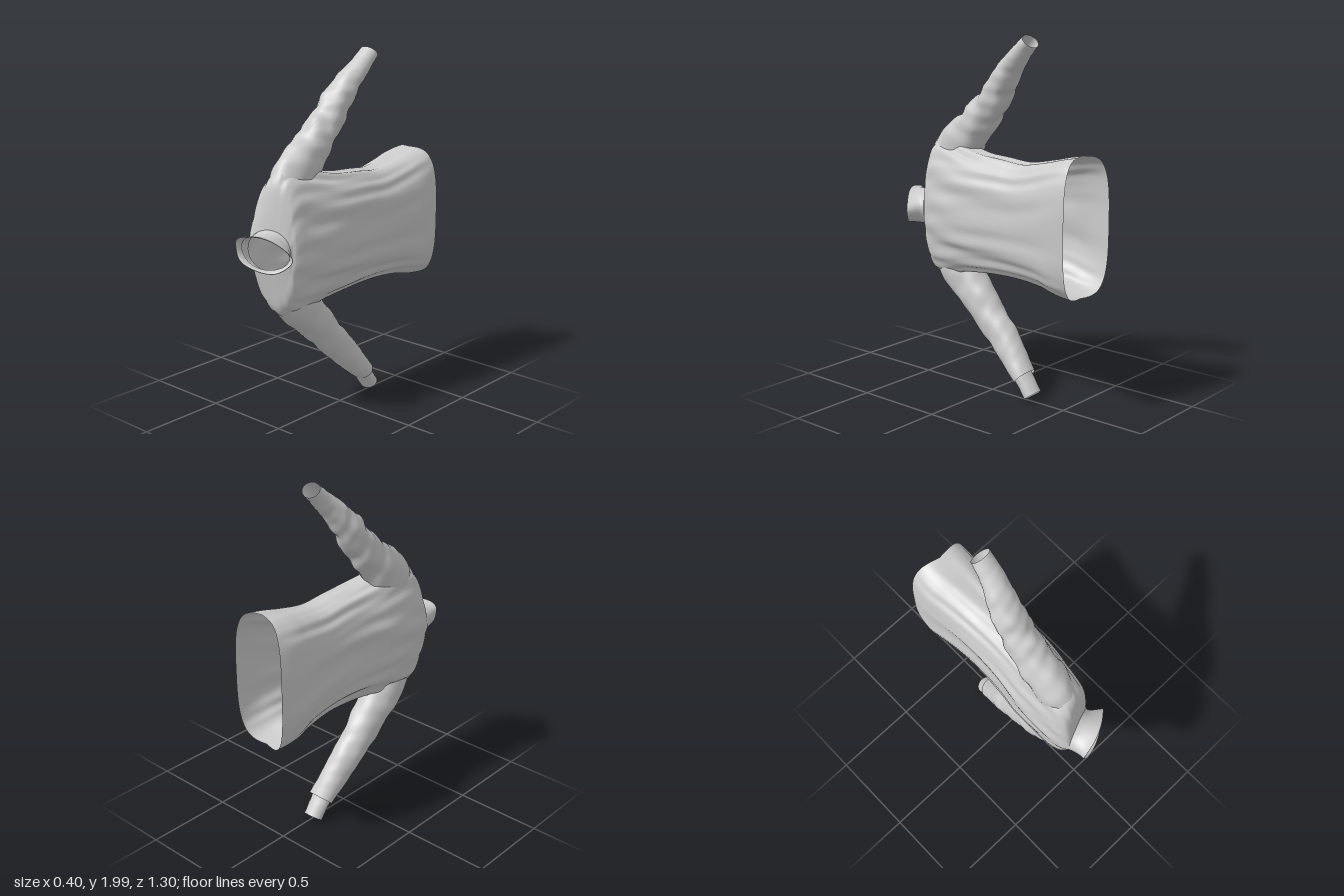
import * as THREE from 'three';

const cloth = new THREE.MeshStandardMaterial({ color: 0xcccccc, side: THREE.DoubleSide });

// Smoothly blends rows of numbers; returns the row at u in 0..1
function blend(rows, u) {
  const f = u * (rows.length - 1);
  const i = Math.min(Math.floor(f), rows.length - 2);
  const t = f - i;
  const at = (k) => rows[Math.max(0, Math.min(rows.length - 1, k))];
  return rows[i].map((_, c) => {
    const p0 = at(i - 1)[c], p1 = at(i)[c], p2 = at(i + 1)[c], p3 = at(i + 2)[c];
    const m1 = (p2 - p0) / 2, m2 = (p3 - p1) / 2;
    return (2 * t ** 3 - 3 * t * t + 1) * p1 + (t ** 3 - 2 * t * t + t) * m1
      + (3 * t * t - 2 * t ** 3) * p2 + (t ** 3 - t * t) * m2;
  });
}

// Open tube skinned over rings; point(u, angle) gives [x, y, z].
// Faces whose corners are all buried are left out, so the inside stays hollow.
function loft(name, rings, sides, point, buried = () => false) {
  const pos = [], index = [], hidden = [];
  for (let i = 0; i <= rings; i++) {
    for (let j = 0; j < sides; j++) {
      const p = point(i / rings, (j / sides) * Math.PI * 2);
      pos.push(...p);
      hidden.push(buried(p));
    }
  }
  for (let i = 0; i < rings; i++) {
    for (let j = 0; j < sides; j++) {
      const k = (j + 1) % sides;
      const a = i * sides + j, b = i * sides + k, c = b + sides, d = a + sides;
      if ([a, b, c, d].every((v) => hidden[v])) continue;
      index.push(a, b, c, a, c, d);
    }
  }
  const g = new THREE.BufferGeometry();
  g.setAttribute('position', new THREE.Float32BufferAttribute(pos, 3));
  g.setIndex(index);
  g.computeVertexNormals();
  const mesh = new THREE.Mesh(g, cloth);
  mesh.name = name;
  return mesh;
}

const spow = (v, e) => Math.sign(v) * Math.abs(v) ** e;

// Torso rows: z, centre x, half x, centre y, half y, slant, roundness exponent
const torsoRows = [
  [-0.60, 0.00, 0.200, 1.025, 0.375, 0, 0.62],
  [-0.50, -0.003, 0.193, 1.022, 0.358, 0, 0.65],
  [-0.40, -0.003, 0.180, 1.022, 0.335, 0, 0.70],
  [-0.25, -0.003, 0.164, 1.015, 0.317, 0, 0.75],
  [-0.10, -0.006, 0.160, 1.02, 0.324, 0, 0.78],
  [0.04, -0.012, 0.163, 1.02, 0.335, 0, 0.80],
  [0.16, -0.025, 0.167, 1.02, 0.355, 0, 0.86],
  [0.26, -0.034, 0.162, 1.02, 0.385, 0, 0.94],
  [0.35, -0.042, 0.153, 1.02, 0.402, 0.05, 0.98],
  [0.42, -0.045, 0.144, 1.015, 0.390, 0.12, 0.98],
  [0.465, -0.045, 0.132, 1.01, 0.335, 0.22, 0.98],
  [0.490, -0.045, 0.120, 1.005, 0.215, 0.34, 0.98],
  [0.505, -0.043, 0.112, 1.0, 0.112, 0.40, 1],
];
// Collar rows use the same columns; the last rows turn the rim inwards
const collarRows = [
  [0.503, -0.043, 0.112, 1.0, 0.112, 0.40, 1],
  [0.525, -0.035, 0.114, 1.0, 0.100, 0.42, 1],
  [0.560, -0.015, 0.128, 1.003, 0.094, 0.45, 1],
  [0.585, -0.003, 0.141, 1.008, 0.094, 0.46, 1],
  [0.583, -0.004, 0.132, 1.010, 0.087, 0.46, 1],
  [0.560, -0.014, 0.119, 1.008, 0.081, 0.45, 1],
];

function torsoPoint(u, t) {
  const [z, cx, hx, cy, hy, slant, e] = blend(torsoRows, u);
  const c = Math.cos(t), s = Math.sin(t);
  // long pulls in the cloth along the body, fading at hem and neck
  const fade = Math.max(0, Math.sin(Math.PI * u)) ** 0.7;
  const fold = fade * (0.006 * Math.sin(15 * t + 2 * Math.sin(5 * u))
    + 0.005 * Math.sin(8 * t - 6 * u) + 0.003 * Math.sin(23 * t + 9 * u));
  // the open hem hangs lower at the sides, where its lip curls inwards
  const hem = Math.max(0, 1 - u * 12) ** 2;
  const drop = hem * (c < 0 ? 0.052 : 0.025) * Math.abs(c) ** 0.6;
  const curl = 1 - 2.4 * drop;
  const x = cx + hx * spow(c, e) * (1 + fold / 0.2) * curl;
  const y = cy + hy * spow(s, e) * (1 + fold / 0.5);
  return [x, y, z - slant * (x - cx) - drop];
}

function collarPoint(u, t) {
  const [z, cx, hx, cy, hy, slant] = blend(collarRows, u);
  const k = 1 + 0.03 * Math.sin(5 * t + 1) * Math.sin(Math.PI * u);
  const x = cx + hx * Math.cos(t) * k;
  // the rim bows forward between its two corners and sags to one side
  const rim = Math.min(1, u * 1.7);
  const bow = 0.03 * Math.sin(t) ** 2 * rim;
  const sag = 0.18 * (x - cx) * rim;
  return [x, cy + hy * Math.sin(t) * k - sag, z - slant * (x - cx) + bow];
}

// Sleeve rows: z, y, centre x, half width in the yz plane, half x
const upperSleeve = [
  [0.365, 1.27, -0.055, 0.120, 0.090],
  [0.290, 1.37, -0.058, 0.136, 0.100],
  [0.165, 1.495, -0.056, 0.108, 0.097],
  [0.06, 1.61, -0.055, 0.092, 0.090],
  [-0.03, 1.73, -0.048, 0.080, 0.086],
  [-0.11, 1.83, -0.030, 0.064, 0.073],
  [-0.18, 1.90, -0.015, 0.052, 0.063],
];
const upperCuff = [
  [-0.165, 1.885, -0.016, 0.055, 0.064],
  [-0.20, 1.92, -0.013, 0.049, 0.060],
  [-0.25, 1.968, -0.010, 0.044, 0.056],
];
const lowerSleeve = [
  [0.37, 0.765, -0.055, 0.118, 0.090],
  [0.29, 0.66, -0.058, 0.124, 0.102],
  [0.18, 0.55, -0.056, 0.110, 0.098],
  [0.06, 0.42, -0.052, 0.096, 0.087],
  [-0.05, 0.31, -0.046, 0.088, 0.081],
  [-0.14, 0.21, -0.032, 0.075, 0.076],
  [-0.215, 0.13, -0.020, 0.058, 0.075],
];
const lowerCuff = [
  [-0.19, 0.15, -0.022, 0.050, 0.062],
  [-0.225, 0.105, -0.020, 0.047, 0.058],
  [-0.276, 0.035, -0.018, 0.046, 0.056],
];

// Unit direction [z, y] along a sleeve
function heading(rows, u) {
  const a = blend(rows, Math.max(0, u - 0.02)), b = blend(rows, Math.min(1, u + 0.02));
  const len = Math.hypot(b[0] - a[0], b[1] - a[1]);
  return [(b[0] - a[0]) / len, (b[1] - a[1]) / len];
}

// True well inside the torso
function inTorso([x, y, z]) {
  let lo = 0, hi = 1;
  for (let i = 0; i < 16; i++) {
    const mid = (lo + hi) / 2;
    const row = blend(torsoRows, mid);
    if (row[0] - row[5] * (x - row[1]) < z) lo = mid; else hi = mid;
  }
  if (lo > 0.99) return false;
  const [, cx, hx, cy, hy, , e] = blend(torsoRows, lo);
  return Math.abs((x - cx) / hx) ** (2 / e) + Math.abs((y - cy) / hy) ** (2 / e) < 0.8;
}

// True well inside the root of either sleeve
const roots = [upperSleeve, lowerSleeve].flatMap((rows) =>
  Array.from({ length: 30 }, (_, i) => [...blend(rows, i / 60), ...heading(rows, i / 60)]));
function inSleeve([x, y, z]) {
  return roots.some(([z0, y0, cx, r, rx, dz, dy]) => {
    const along = (z - z0) * dz + (y - y0) * dy;
    const across = (z - z0) * dy - (y - y0) * dz;
    return Math.abs(along) < 0.01 && (across / r) ** 2 + ((x - cx) / rx) ** 2 < 0.75;
  });
}

function sleeve(name, rows, rings, crumple) {
  return loft(name, rings, 32, (u, t) => {
    const [z, y, cx, r, rx] = blend(rows, u);
    const [dz, dy] = heading(rows, u);
    // slanting creases wrap round the sleeve, strongest near the elbow
    const wave = Math.sin(34 * u + 2 * Math.sin(t + 1)) * (0.6 + 0.4 * Math.sin(2 * t + 9 * u));
    const ripple = 0.5 * Math.sin(5 * t + 17 * u) + 0.3 * Math.sin(61 * u - 3 * t);
    const k = 1 + crumple * Math.sin(Math.PI * u) * (wave + ripple);
    const p = r * Math.sin(t) * k;
    return [cx + rx * Math.cos(t) * k, y + dz * p, z - dy * p];
  }, inTorso);
}

export function createModel() {
  const group = new THREE.Group();
  group.name = 'sweater';
  group.add(
    loft('torso', 84, 112, torsoPoint, inSleeve),
    loft('collar', 20, 48, collarPoint),
    sleeve('upperSleeve', upperSleeve, 60, 0.075),
    sleeve('upperCuff', upperCuff, 8, 0.03),
    sleeve('lowerSleeve', lowerSleeve, 60, 0.035),
    sleeve('lowerCuff', lowerCuff, 8, 0.03),
  );
  return group;
}
